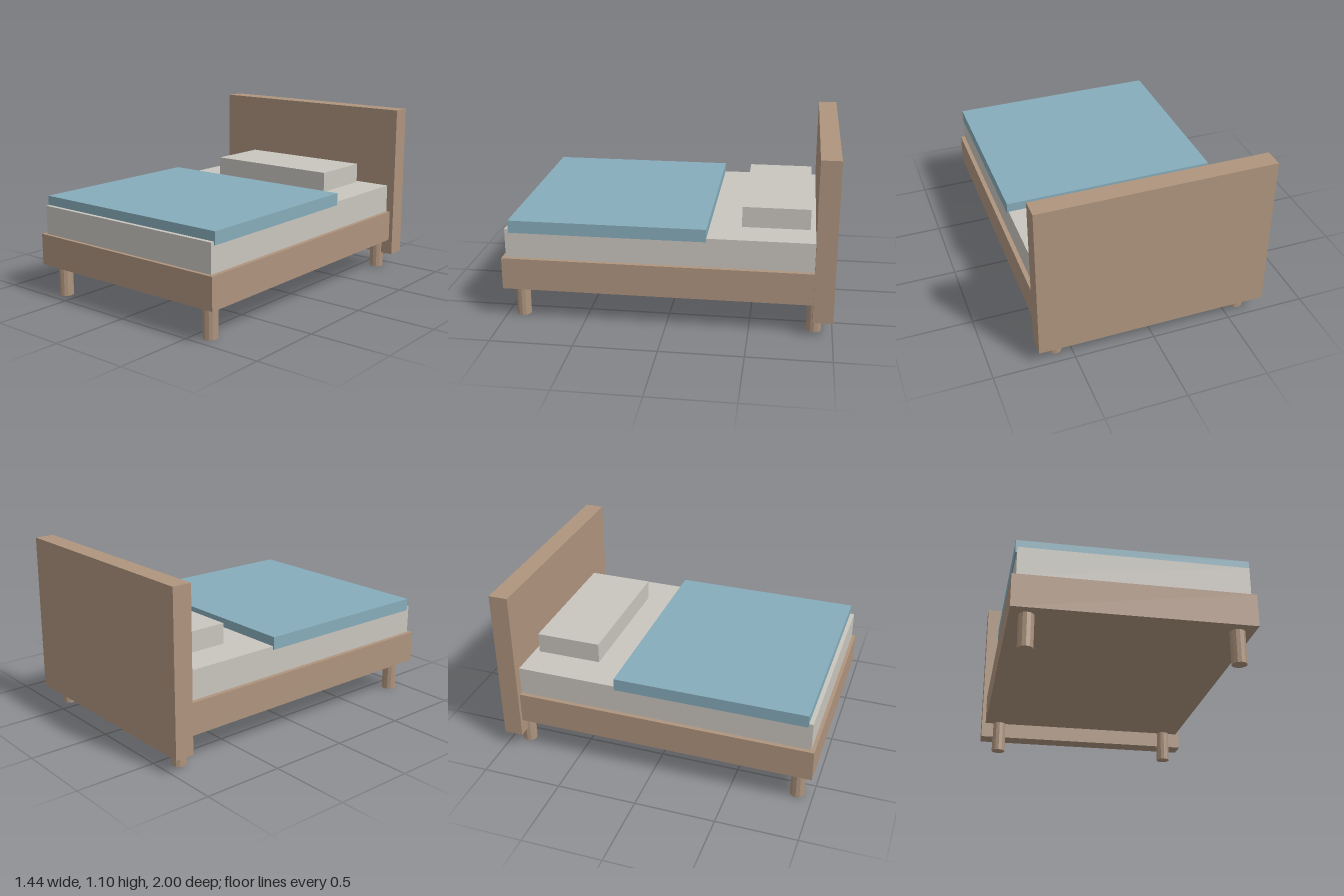
import * as THREE from 'three';

export function createModel() {
  const bed = new THREE.Group();
  bed.name = 'bed';

  const material = (name, color) => {
    const m = new THREE.MeshStandardMaterial({ color });
    m.name = name;
    return m;
  };
  const wood = material('wood', 0xae947e);
  const linen = material('linen', 0xc9c5be);
  const blue = material('blanket blue', 0x86acba);
  const legWood = wood.clone();
  legWood.flatShading = true;

  // Box centred on x, given by width and its y and z limits
  const slab = (name, width, y0, y1, z0, z1, mat) => {
    const mesh = new THREE.Mesh(new THREE.BoxGeometry(width, y1 - y0, z1 - z0), mat);
    mesh.position.set(0, (y0 + y1) / 2, (z0 + z1) / 2);
    mesh.name = name;
    bed.add(mesh);
  };

  slab('headboard', 1.44, 0.1, 1.095, -1, -0.88, wood);
  slab('frame', 1.39, 0.2, 0.398, -0.88, 1, wood);
  slab('mattress', 1.336, 0.398, 0.578, -0.88, 0.978, linen);
  slab('pillow', 0.89, 0.578, 0.706, -0.847, -0.436, linen);
  slab('blanket', 1.352, 0.558, 0.636, -0.242, 0.952, blue);

  // Four round legs
  const legGeometry = new THREE.CylinderGeometry(0.045, 0.045, 0.2, 12);
  for (const side of [-1, 1]) {
    for (const [end, z] of [['front', 0.902], ['back', -0.89]]) {
      const leg = new THREE.Mesh(legGeometry, wood);
      leg.position.set(side * 0.597, 0.1, z);
      leg.name = `${end}Leg${side > 0 ? 'Left' : 'Right'}`;
      leg.material = legWood;
      bed.add(leg);
    }
  }
  return bed;
}
